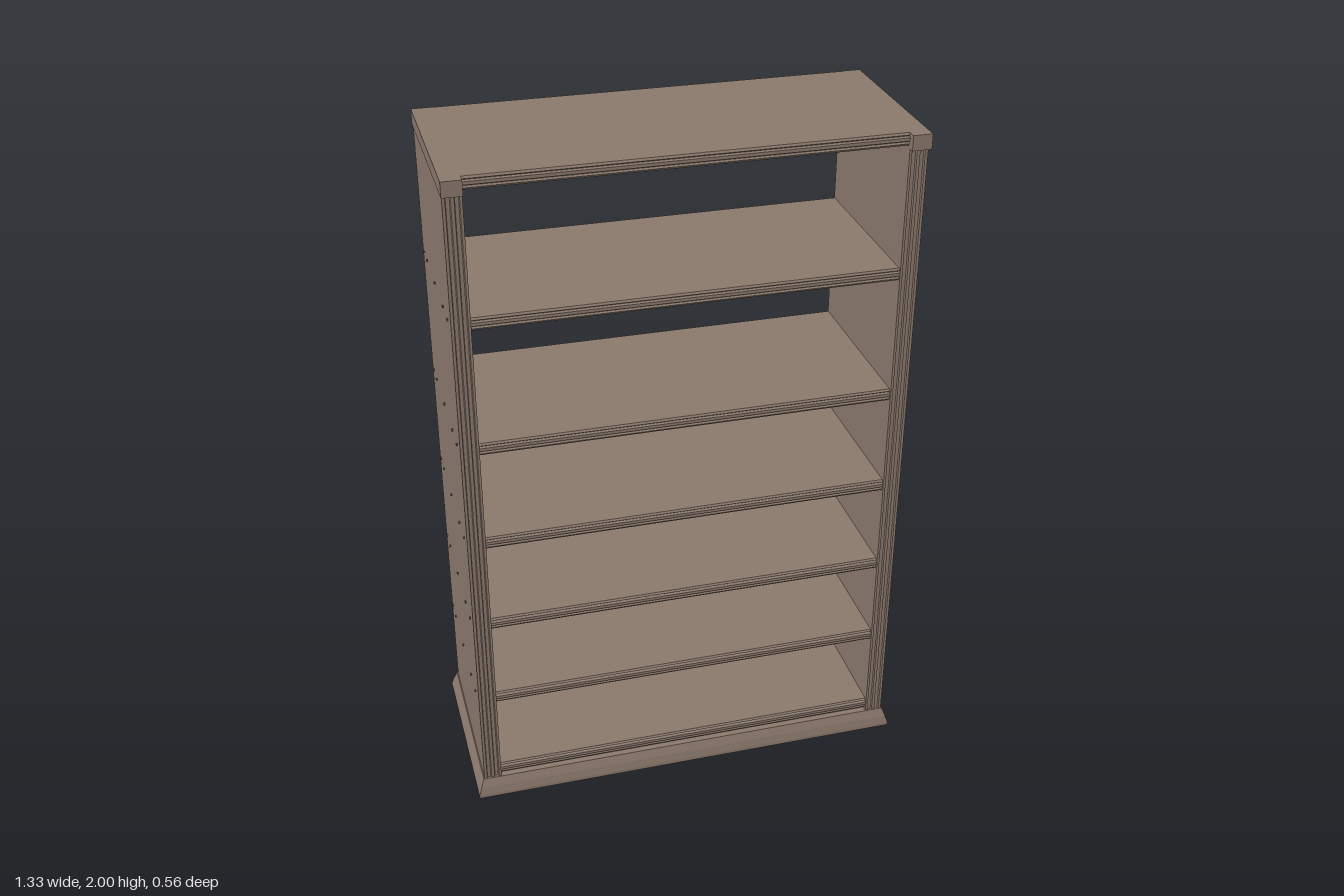
import * as THREE from 'three';

export function createModel() {
  const model = new THREE.Group();
  const wood = new THREE.MeshStandardMaterial({ color: 0x8a786c });
  wood.name = 'brown wood';
  const nailMat = new THREE.MeshStandardMaterial({ color: 0x5c5048 });
  nailMat.name = 'dark nail';

  const add = (name, geometry, material = wood, parent = model) => {
    const mesh = new THREE.Mesh(geometry, material);
    mesh.name = name;
    parent.add(mesh);
    return mesh;
  };
  const box = (name, x0, x1, y0, y1, z0, z1) =>
    add(name, new THREE.BoxGeometry(x1 - x0, y1 - y0, z1 - z0)
      .translate((x0 + x1) / 2, (y0 + y1) / 2, (z0 + z1) / 2));
  const extrude = (points, depth) => new THREE.ExtrudeGeometry(
    new THREE.Shape(points.map(([x, y]) => new THREE.Vector2(x, y))),
    { depth, bevelEnabled: false });

  // Flared plinth: half width, half depth and height of each level
  const levels = [[0.663, 0.28, 0], [0.663, 0.28, 0.01], [0.655, 0.275, 0.035], [0.645, 0.266, 0.062]];
  let plinth = new THREE.BoxGeometry(2, 3, 2, 1, 3, 1);
  const pos = plinth.attributes.position;
  for (let i = 0; i < pos.count; i++) {
    const [w, d, y] = levels[Math.round(pos.getY(i) + 1.5)];
    pos.setXYZ(i, pos.getX(i) * w, y, pos.getZ(i) * d);
  }
  plinth = plinth.toNonIndexed();
  plinth.computeVertexNormals();
  add('plinth', plinth);

  // Side panels with a fluted front edge, drawn in plan as [x, -z]
  for (const side of [1, -1]) {
    const plan = [
      [0.59, 0.262], [0.642, 0.262], [0.642, -0.264], [0.634, -0.264], [0.632, -0.258],
      [0.622, -0.258], [0.62, -0.264], [0.611, -0.264], [0.609, -0.258], [0.599, -0.258],
      [0.597, -0.264], [0.59, -0.264],
    ].map(([x, y]) => [x * side, y]);
    const panel = extrude(plan, 1.9).rotateX(-Math.PI / 2).translate(0, 0.06, 0);
    add(side > 0 ? 'leftSidePanel' : 'rightSidePanel', panel);
  }

  // Shelves with a moulded front edge, drawn as [-z, y down from the top]
  const shelfProfile = [
    [0.26, 0], [0.26, -0.036], [-0.254, -0.036], [-0.258, -0.03], [-0.253, -0.026],
    [-0.26, -0.022], [-0.26, -0.013], [-0.253, -0.01], [-0.258, -0.006], [-0.254, 0],
  ];
  const shelfGeometry = extrude(shelfProfile, 1.19).rotateY(Math.PI / 2).translate(-0.595, 0, 0);
  const shelfTops = [0.105, 0.38, 0.65, 0.93, 1.235, 1.612];
  shelfTops.forEach((y, i) => {
    add('shelf' + (i + 1), shelfGeometry).position.y = y;
  });

  // Top board, with end caps that stand proud at the front
  add('topBoard', shelfGeometry).position.y = 2;
  box('leftTopCap', 0.59, 0.645, 1.957, 2, -0.262, 0.28);
  box('rightTopCap', -0.645, -0.59, 1.957, 2, -0.262, 0.28);

  // Small nail heads where the shelves meet the side panels
  const nails = new THREE.Group();
  nails.name = 'nails';
  model.add(nails);
  const nailGeometry = new THREE.CylinderGeometry(0.004, 0.004, 0.006, 6).rotateZ(Math.PI / 2);
  for (const side of [1, -1]) {
    for (const y of shelfTops.slice(1)) {
      for (const z of [0.21, 0.13, -0.02, -0.17, -0.23]) {
        add('nail', nailGeometry, nailMat, nails).position.set(side * 0.643, y - 0.019, z);
      }
    }
  }
  return model;
}
